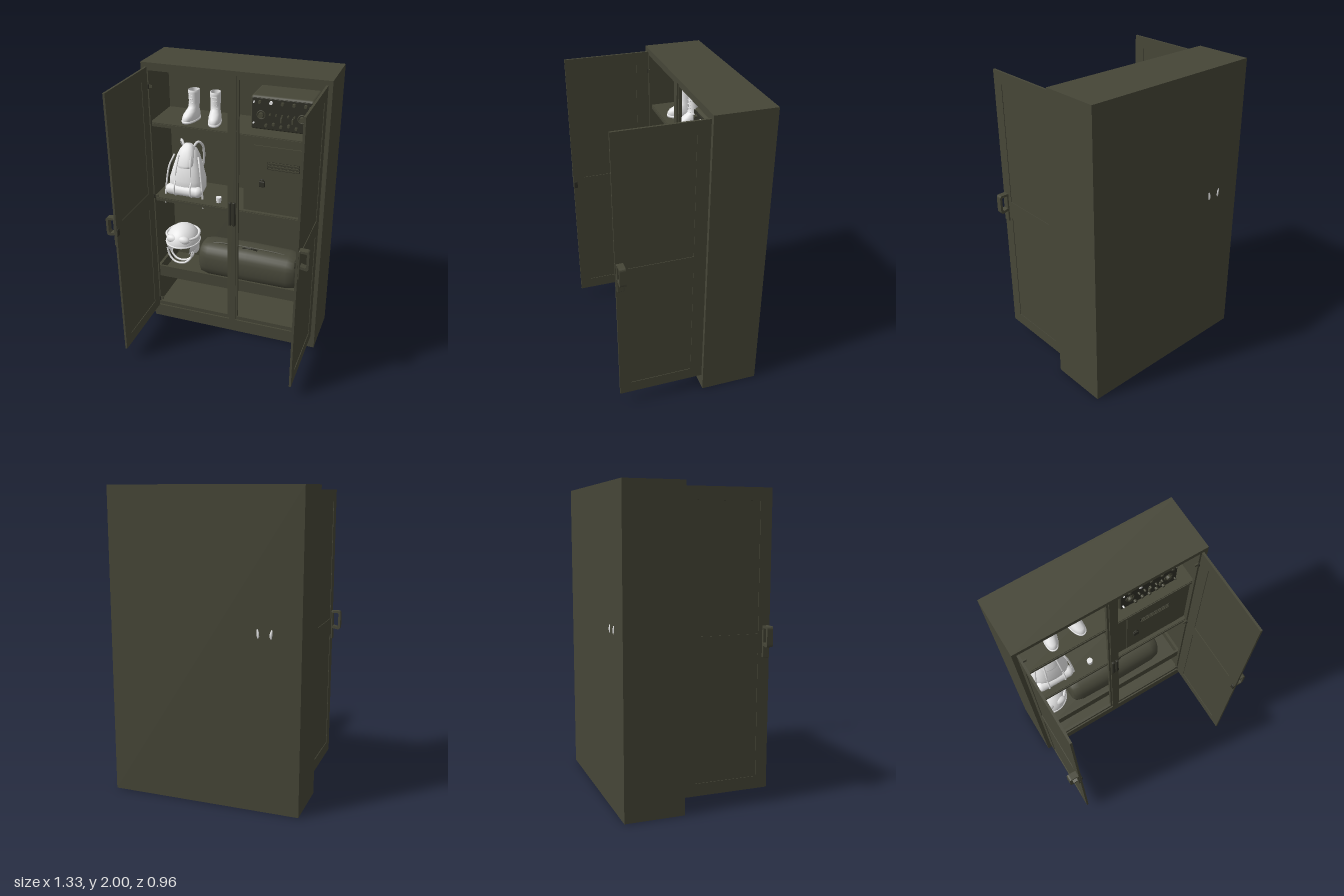
import * as THREE from 'three';
import { RoundedBoxGeometry } from 'three/addons/geometries/RoundedBoxGeometry.js';

const mat = (name, color, side = THREE.FrontSide) => {
  const m = new THREE.MeshStandardMaterial({ color, side });
  m.name = name;
  return m;
};

export function createModel() {
  const olive = mat('olive steel', 0x464637);
  const dark = mat('dark metal', 0x2f2f26);
  const canvas = mat('olive canvas', 0x48483a);
  const white = mat('plain white', 0xe6e6e6, THREE.DoubleSide);
  const root = new THREE.Group();
  root.name = 'equipmentLocker';

  const group = (name, parent = root) => {
    const g = new THREE.Group();
    g.name = name;
    parent.add(g);
    return g;
  };
  const add = (parent, name, geo, m, x = 0, y = 0, z = 0) => {
    const mesh = new THREE.Mesh(geo, m);
    mesh.name = name;
    mesh.position.set(x, y, z);
    parent.add(mesh);
    return mesh;
  };
  // Box given by its minimum and maximum on each axis
  const box = (parent, name, m, x0, x1, y0, y1, z0, z1) =>
    add(parent, name, new THREE.BoxGeometry(x1 - x0, y1 - y0, z1 - z0), m,
      (x0 + x1) / 2, (y0 + y1) / 2, (z0 + z1) / 2);
  const tube = (parent, name, m, pts, r) =>
    add(parent, name, new THREE.TubeGeometry(
      new THREE.CatmullRomCurve3(pts.map(p => new THREE.Vector3(...p))), 32, r, 8), m);
  const rect = (P, x0, x1, y0, y1) => new P([[x0, y0], [x1, y0], [x1, y1], [x0, y1]]
    .map(p => new THREE.Vector2(...p)));
  const extrude = (shape, depth) => new THREE.ExtrudeGeometry(shape, { depth, bevelEnabled: false, curveSegments: 8 });

  // Smooth skin over rows of [y, centre x, centre z, radius x, radius z]; power < 1 is boxier
  const loft = (rows, power = 1, n = 28) => {
    const pos = [], idx = [];
    const sp = v => Math.sign(v) * Math.abs(v) ** power;
    rows.forEach(([y, cx, cz, rx, rz], i) => {
      for (let j = 0; j < n; j++) {
        const a = j / n * Math.PI * 2, k = (j + 1) % n;
        pos.push(cx + rx * sp(Math.cos(a)), y, cz + rz * sp(Math.sin(a)));
        if (i < rows.length - 1) {
          const p = i * n + j, q = i * n + k;
          idx.push(p, p + n, q, q, p + n, q + n);
        }
      }
    });
    const g = new THREE.BufferGeometry();
    g.setAttribute('position', new THREE.Float32BufferAttribute(pos, 3));
    g.setIndex(idx);
    g.computeVertexNormals();
    return g;
  };

  // Cabinet shell
  const cabinet = group('cabinet');
  box(cabinet, 'backPanel', olive, -0.63, 0.63, 0, 2, -0.475, -0.462);
  box(cabinet, 'base', olive, -0.63, 0.63, 0, 0.1, -0.462, -0.09);
  box(cabinet, 'top', olive, -0.63, 0.63, 1.97, 2, -0.462, -0.09);
  for (const s of [-1, 1])
    box(cabinet, 'sideWall', olive, Math.min(s * 0.6, s * 0.63), Math.max(s * 0.6, s * 0.63), 0.1, 1.97, -0.462, -0.09);
  const frame = rect(THREE.Shape, -0.6, 0.6, 0.1, 1.97);
  frame.holes.push(rect(THREE.Path, -0.585, -0.038, 0.13, 1.945), rect(THREE.Path, 0.038, 0.585, 0.13, 1.945));
  add(cabinet, 'innerFrame', extrude(frame, 0.02), olive, 0, 0, -0.12);
  box(cabinet, 'centrePost', olive, -0.025, 0.025, 0.1, 1.97, -0.12, -0.09);
  for (const s of [-1, 1])
    add(cabinet, 'postLatch', new RoundedBoxGeometry(0.02, 0.18, 0.02, 2, 0.006), dark, s * 0.014, 1, -0.081);

  // Shelves and tray
  for (const y of [1.57, 1.007]) {
    box(cabinet, 'shelf', olive, -0.6, 0.6, y - 0.01, y + 0.01, -0.462, -0.125);
    box(cabinet, 'shelfLip', olive, -0.585, 0.585, y - 0.016, y + 0.004, -0.13, -0.12);
  }
  const tray = group('tray');
  box(tray, 'trayFloor', olive, -0.6, 0.6, 0.35, 0.365, -0.462, -0.125);
  box(tray, 'trayFront', olive, -0.6, 0.6, 0.35, 0.44, -0.135, -0.121);
  for (const s of [-1, 1]) box(tray, 'traySide', olive, s * 0.59 - 0.01, s * 0.59 + 0.01, 0.35, 0.44, -0.462, -0.13);

  // Open doors with recessed panels on both faces
  for (const s of [-1, 1]) {
    const door = group(s > 0 ? 'leftDoor' : 'rightDoor');
    const shape = rect(THREE.Shape, -0.09, 0.477, 0.1, 1.97);
    shape.holes.push(rect(THREE.Path, -0.01, 0.4, 0.18, 0.97), rect(THREE.Path, -0.01, 0.4, 1.09, 1.89));
    const f = add(door, 'doorFrame', extrude(shape, 0.014), olive, s * 0.595 + 0.007, 0, 0);
    f.rotation.y = -Math.PI / 2;
    box(door, 'doorPanel', olive, s * 0.595 - 0.003, s * 0.595 + 0.003, 0.15, 1.92, -0.05, 0.44);

    // Handle loop on the outer face
    const handle = group('doorHandle', door);
    const loop = new THREE.Shape();
    loop.moveTo(0, 0.01); loop.lineTo(0.05, 0); loop.quadraticCurveTo(0.068, 0, 0.068, 0.02);
    loop.lineTo(0.068, 0.11); loop.quadraticCurveTo(0.068, 0.13, 0.05, 0.13); loop.lineTo(0, 0.13);
    loop.holes.push(new THREE.Path([[0, 0.03], [0.045, 0.018], [0.053, 0.03], [0.053, 0.108], [0.045, 0.115], [0, 0.115]]
      .map(p => new THREE.Vector2(...p))));
    const h = add(handle, 'handleLoop', extrude(loop, 0.04), olive, s * 0.598, 1.01, s > 0 ? 0.428 : 0.468);
    if (s < 0) h.rotation.y = Math.PI;
    add(handle, 'handlePlate', new RoundedBoxGeometry(0.022, 0.2, 0.045, 2, 0.005), olive, s * 0.602, 1.04, 0.45);
    add(handle, 'innerLatch', new RoundedBoxGeometry(0.014, 0.05, 0.025, 2, 0.004), dark, s * 0.587, 1.04, 0.462);

    // Hinges
    for (const y of [0.16, 1.04, 1.84]) {
      const hinge = group('hinge', door);
      box(hinge, 'hingeLeaf', olive, s * 0.573 - 0.015, s * 0.573 + 0.015, y - 0.01, y + 0.01, -0.1, -0.092);
      add(hinge, 'hingePin', new THREE.CylinderGeometry(0.006, 0.006, 0.03, 10), dark, s * 0.583, y, -0.09);
    }
  }

  // Lockbox with vented door and padlock
  const safe = group('lockbox');
  box(safe, 'lockboxBody', olive, 0.06, 0.6, 1.015, 1.56, -0.462, -0.15);
  box(safe, 'lockboxDoor', olive, 0.13, 0.535, 1.037, 1.505, -0.15, -0.142);
  for (const y of [1.352, 1.372, 1.392]) {
    box(safe, 'ventSlot', dark, 0.225, 0.445, y - 0.008, y + 0.008, -0.142, -0.14);
    box(safe, 'ventLouvre', olive, 0.23, 0.44, y - 0.003, y + 0.006, -0.141, -0.136);
  }
  add(safe, 'padlock', new RoundedBoxGeometry(0.04, 0.042, 0.016, 2, 0.005), dark, 0.193, 1.235, -0.134);
  add(safe, 'padlockShackle', new THREE.TorusGeometry(0.013, 0.004, 8, 16, Math.PI), dark, 0.193, 1.256, -0.134);

  // Radio set with dials and switches
  const radio = group('radio');
  add(radio, 'radioCase', new RoundedBoxGeometry(0.42, 0.23, 0.24, 3, 0.022), olive, 0.3, 1.715, -0.3);
  add(radio, 'radioFace', new RoundedBoxGeometry(0.395, 0.205, 0.008, 2, 0.003), dark, 0.3, 1.715, -0.178);
  const knob = (x, y, r, m = olive) => {
    add(radio, 'knob', new THREE.CylinderGeometry(r * 0.85, r, 0.018, 16), m, x, y, -0.167).rotation.x = Math.PI / 2;
  };
  for (const x of [0.165, 0.435]) {
    add(radio, 'dialRing', new THREE.TorusGeometry(0.027, 0.004, 8, 24), olive, x, 1.705, -0.174);
    knob(x, 1.705, 0.019);
  }
  for (let i = 0; i < 5; i++) {
    knob(0.2 + i * 0.05, 1.64 + (i % 2) * 0.012, 0.011);
    knob(0.225 + i * 0.04, 1.715, 0.007);
    knob(0.155 + i * 0.075, 1.793, 0.012, i === 1 ? white : olive);
  }
  for (const x of [0.117, 0.483]) for (const y of [1.65, 1.79]) knob(x, y, 0.006, x < 0.2 ? white : olive);
  for (const x of [0.3, 0.375]) add(radio, 'switch', new RoundedBoxGeometry(0.012, 0.04, 0.016, 2, 0.004), olive, x, 1.685, -0.17);

  // Boots
  const boots = group('boots');
  for (const s of [-1, 1]) {
    const b = group('boot', boots);
    b.position.set(-0.265 + s * 0.078, 1.58, -0.285);
    b.rotation.y = s * 0.2;
    add(b, 'bootUpper', loft([[0.012, 0, 0.035, 0.04, 0.088], [0.03, 0, 0.035, 0.043, 0.09], [0.05, 0, 0.03, 0.041, 0.082],
      [0.07, 0, 0.016, 0.036, 0.062], [0.09, 0, 0, 0.033, 0.046], [0.12, 0, -0.006, 0.033, 0.04],
      [0.19, 0, -0.006, 0.037, 0.043], [0.207, 0, -0.006, 0.036, 0.042], [0.207, 0, -0.006, 0.03, 0.036], [0.1, 0, -0.004, 0.028, 0.034]], 0.9), white);
    add(b, 'bootSole', loft([[0, 0, 0.035, 0.001, 0.001], [0, 0, 0.035, 0.043, 0.092], [0.014, 0, 0.035, 0.045, 0.094], [0.015, 0, 0.035, 0.03, 0.07]], 0.85), white);
    for (let i = 0; i < 4; i++) {
      const lace = add(b, 'lace', new THREE.CylinderGeometry(0.003, 0.003, 0.034, 8), white, 0, 0.1 + i * 0.025, 0.037);
      lace.rotation.z = Math.PI / 2;
    }
  }

  // Rucksack with bedroll, flap and straps
  const pack = group('rucksack');
  pack.position.set(-0.4, 1.017, -0.28);
  add(pack, 'packBody', loft([[0, 0, 0, 0.001, 0.001], [0.005, 0, 0, 0.11, 0.075], [0.05, 0, 0, 0.13, 0.1], [0.12, 0, 0, 0.128, 0.1],
    [0.2, 0, -0.01, 0.105, 0.088], [0.28, 0, -0.02, 0.08, 0.07], [0.325, 0, -0.025, 0.06, 0.05], [0.345, 0, -0.025, 0.03, 0.025], [0.348, 0, -0.025, 0.001, 0.001]], 0.75), white);
  add(pack, 'packFlap', loft([[0.215, 0, 0.035, 0.05, 0.048], [0.235, 0, 0.03, 0.066, 0.056], [0.29, 0, 0.01, 0.062, 0.05],
    [0.335, 0, -0.01, 0.05, 0.045], [0.362, 0, -0.02, 0.028, 0.025], [0.366, 0, -0.02, 0.001, 0.001]], 0.75), white);
  const roll = add(pack, 'bedroll', new THREE.CapsuleGeometry(0.04, 0.2, 6, 20), white, 0, 0.045, 0.08);
  roll.rotation.z = Math.PI / 2;
  for (const s of [-1, 1]) {
    tube(pack, 'flapStrap', white, [[s * 0.045, 0.3, 0.05], [s * 0.052, 0.22, 0.085], [s * 0.057, 0.165, 0.1]], 0.006);
    tube(pack, 'rollStrap', white, [[s * 0.06, 0.12, 0.095], [s * 0.06, 0.08, 0.12], [s * 0.06, 0.03, 0.12], [s * 0.06, 0.004, 0.09]], 0.006);
    tube(pack, 'shoulderStrap', white, [[s * 0.03, 0.33, -0.03], [s * 0.06, 0.375, -0.05], [s * 0.08, 0.34, -0.09],
      [s * 0.06, 0.2, -0.165], [s * 0.04, 0.095, -0.19], [s * 0.08, 0.03, -0.1]], 0.009);
    tube(pack, 'sideStrap', white, [[s * 0.09, 0.29, 0.02], [s * 0.115, 0.22, 0.06], [s * 0.135, 0.08, 0.08], [s * 0.145, -0.07, 0.09]], 0.007);
  }
  add(root, 'cup', new THREE.CylinderGeometry(0.02, 0.017, 0.04, 18), white, -0.135, 1.037, -0.19);

  // Helmet with goggles and chin strap
  const helmet = group('helmet');
  helmet.position.set(-0.455, 0.605, -0.28);
  add(helmet, 'helmetDome', new THREE.SphereGeometry(0.13, 32, 16, 0, Math.PI * 2, 0, Math.PI / 2), white).scale.set(0.96, 0.98, 1.08);
  add(helmet, 'helmetSides', new THREE.SphereGeometry(0.13, 32, 12, Math.PI / 2 + 0.8, Math.PI * 2 - 1.6, Math.PI / 2, Math.PI * 0.28), white).scale.set(0.98, 0.9, 1.08);
  const rim = add(helmet, 'helmetRim', new THREE.TorusGeometry(0.128, 0.007, 8, 40), white);
  rim.rotation.x = Math.PI / 2;
  rim.scale.set(0.97, 1.08, 1);
  for (const s of [-1, 1]) {
    add(helmet, 'gogglesLens', new THREE.SphereGeometry(0.05, 20, 12), white, s * 0.042, 0.05, 0.098).scale.set(1, 0.64, 0.6);
    add(helmet, 'earCup', new THREE.SphereGeometry(0.045, 18, 12), white, s * 0.1, -0.05, 0).scale.set(0.55, 1.1, 1);
  }
  tube(helmet, 'gogglesStrap', white, [[-0.085, 0.055, 0.09], [-0.12, 0.055, 0.03], [-0.095, 0.055, -0.085], [0, 0.055, -0.13],
    [0.095, 0.055, -0.085], [0.12, 0.055, 0.03], [0.085, 0.055, 0.09]], 0.01);
  for (const z of [0.03, 0.075])
    tube(helmet, 'chinStrap', white, [[-0.1, -0.05, z], [-0.085, -0.11, z], [-0.045, -0.148, z + 0.01], [0, -0.156, z + 0.015],
      [0.045, -0.148, z + 0.01], [0.085, -0.11, z], [0.1, -0.05, z]], 0.008);

  // Duffel bag lying in the tray
  const duffel = group('duffelBag');
  const bag = add(duffel, 'bagBody', loft([[-0.375, 0, 0, 0.001, 0.001], [-0.372, 0, 0, 0.1, 0.09], [-0.355, 0, 0, 0.125, 0.115], [-0.3, 0, 0, 0.135, 0.13],
    [0, 0, 0, 0.142, 0.135], [0.3, 0, 0, 0.135, 0.13], [0.355, 0, 0, 0.122, 0.115], [0.372, 0, 0, 0.1, 0.09], [0.375, 0, 0, 0.001, 0.001]], 0.8), canvas, 0.073, 0.505, -0.29);
  bag.rotation.z = Math.PI / 2;
  tube(duffel, 'bagZip', canvas, [[-0.28, 0.6, -0.26], [-0.2, 0.635, -0.26], [0.073, 0.645, -0.26], [0.35, 0.632, -0.26], [0.43, 0.6, -0.26]], 0.006);
  tube(duffel, 'bagHandle', dark, [[0.03, 0.642, -0.24], [0.06, 0.655, -0.23], [0.11, 0.655, -0.23], [0.14, 0.642, -0.24]], 0.006);
  return root;
}
